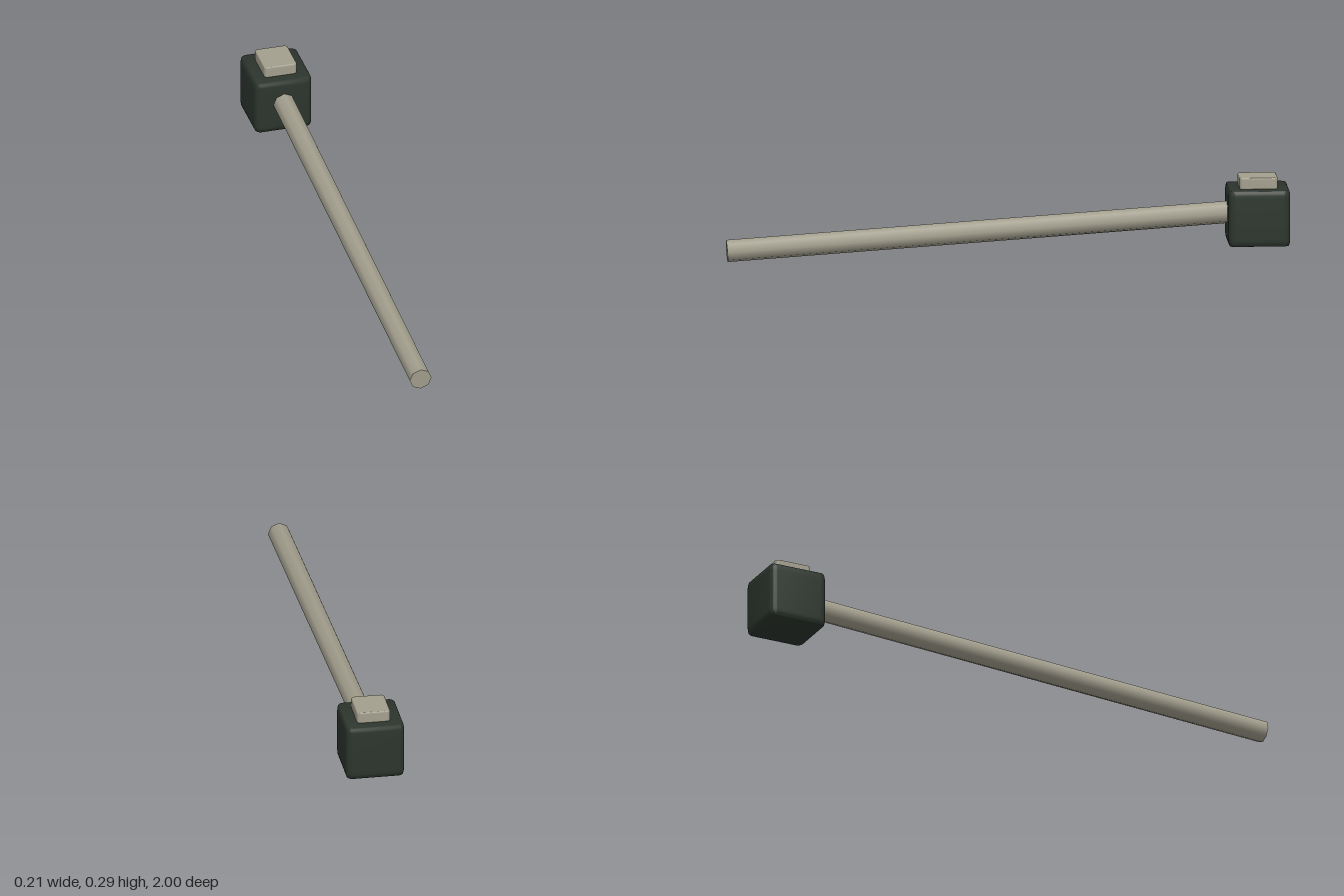
import * as THREE from 'three';
import { toCreasedNormals, mergeVertices } from 'three/addons/utils/BufferGeometryUtils.js';

// Upright rounded slab with softly bevelled top and bottom rims, base at y = 0
function bevelledBlock(width, height, depth, corner, bevelSize, bevelThickness) {
  const x = width / 2 - bevelSize, z = depth / 2 - bevelSize;
  const shape = new THREE.Shape();
  shape.absarc(x - corner, z - corner, corner, 0, Math.PI / 2);
  shape.absarc(-x + corner, z - corner, corner, Math.PI / 2, Math.PI);
  shape.absarc(-x + corner, -z + corner, corner, Math.PI, Math.PI * 1.5);
  shape.absarc(x - corner, -z + corner, corner, Math.PI * 1.5, Math.PI * 2);
  shape.closePath();
  const geometry = new THREE.ExtrudeGeometry(shape, {
    depth: height - 2 * bevelThickness, bevelSize, bevelThickness, bevelSegments: 4, curveSegments: 4,
  });
  geometry.translate(0, 0, bevelThickness);
  geometry.rotateX(-Math.PI / 2);
  return geometry;
}

export function createModel() {
  const group = new THREE.Group();
  const paleGrey = new THREE.MeshStandardMaterial({ color: 0xa39f8e });
  paleGrey.name = 'paleGrey';
  const darkGreen = new THREE.MeshStandardMaterial({ color: 0x2c352d });
  darkGreen.name = 'darkGreen';

  const add = (name, geometry, material, x, y, z) => {
    const mesh = new THREE.Mesh(geometry, material);
    mesh.name = name;
    mesh.position.set(x, y, z);
    group.add(mesh);
    return mesh;
  };

  // Long eight-sided rod, rising gently toward the back
  const front = new THREE.Vector3(0, 0.041, 0.997);
  const back = new THREE.Vector3(0, 0.163, -0.85);
  const rodGeometry = new THREE.CylinderGeometry(0.04, 0.04, front.distanceTo(back), 8);
  rodGeometry.rotateX(Math.PI / 2);
  const middle = front.clone().add(back).multiplyScalar(0.5);
  const rod = add('rod', rodGeometry, paleGrey, 0, middle.y, middle.z);
  rod.rotation.x = Math.atan2(back.y - front.y, front.z - back.z);

  // Dark block at the back end
  const block = toCreasedNormals(bevelledBlock(0.21, 0.2, 0.22, 0.018, 0.006, 0.028), 0.9);
  add('block', block, darkGreen, 0, 0.05, -0.89);

  // Small softly shaded pad on top of the block
  const pad = bevelledBlock(0.12, 0.042, 0.136, 0.009, 0.004, 0.006);
  pad.deleteAttribute('uv');
  pad.deleteAttribute('normal');
  const softPad = mergeVertices(pad);
  softPad.computeVertexNormals();
  add('topPad', softPad, paleGrey, 0, 0.248, -0.89);

  return group;
}
